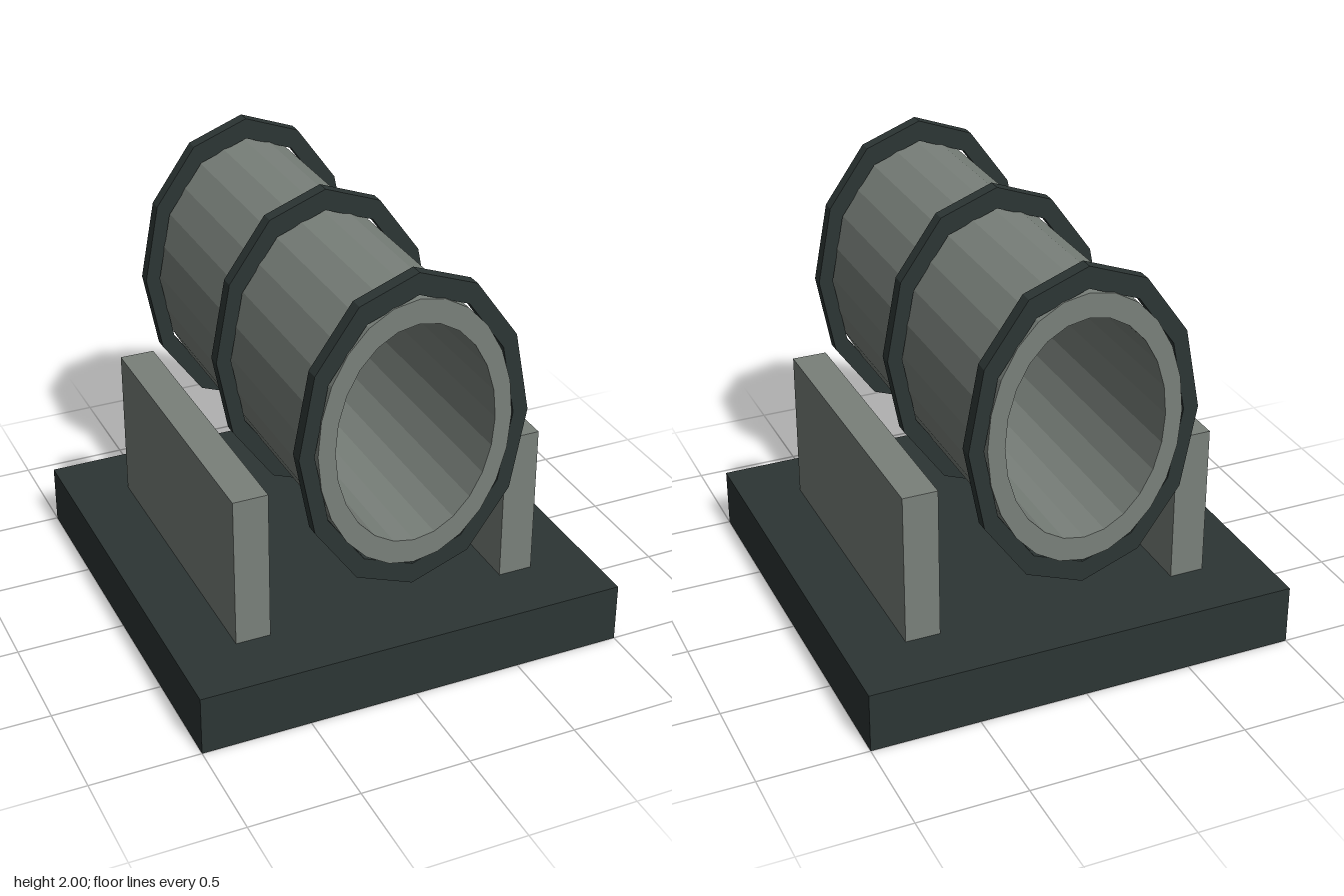
import * as THREE from 'three';

const stone = new THREE.MeshStandardMaterial({ color: 0x79807a });
stone.name = 'grey stone';
const dark = new THREE.MeshStandardMaterial({ color: 0x2c3534 });
dark.name = 'dark slate';

// Points of an upright faceted oval, counter-clockwise from its top
function oval(rx, ry, sides) {
  return Array.from({ length: sides }, (_, i) => {
    const a = (i / sides) * Math.PI * 2;
    return new THREE.Vector2(-Math.sin(a) * rx, Math.cos(a) * ry);
  });
}

// Hollow oval prism, centred along z
function hollowOval(outer, inner, sides, depth) {
  const shape = new THREE.Shape(oval(outer[0], outer[1], sides));
  shape.holes.push(new THREE.Path(oval(inner[0], inner[1], sides)));
  return new THREE.ExtrudeGeometry(shape, { depth, bevelEnabled: false }).translate(0, 0, -depth / 2);
}

export function createModel() {
  const group = new THREE.Group();
  const add = (name, geometry, material, x, y, z) => {
    const mesh = new THREE.Mesh(geometry, material);
    mesh.name = name;
    mesh.position.set(x, y, z);
    group.add(mesh);
  };

  // Square plinth with a low wall on each side
  add('base', new THREE.BoxGeometry(2, 0.28, 2), dark, 0, 0.14, 0);
  const wall = new THREE.BoxGeometry(0.16, 0.71, 1.4);
  add('leftWall', wall, stone, 0.64, 0.635, 0);
  add('rightWall', wall, stone, -0.64, 0.635, 0);

  // Open oval tube held by three twelve-sided bands
  const axisY = 1.27;
  add('tube', hollowOval([0.44, 0.618], [0.363, 0.508], 24, 1.876), stone, 0, axisY, 0);
  const band = hollowOval([0.52, 0.73], [0.452, 0.633], 12, 0.06);
  add('frontBand', band, dark, 0, axisY, 0.9);
  add('middleBand', band, dark, 0, axisY, 0);
  add('backBand', band, dark, 0, axisY, -0.9);

  return group;
}
